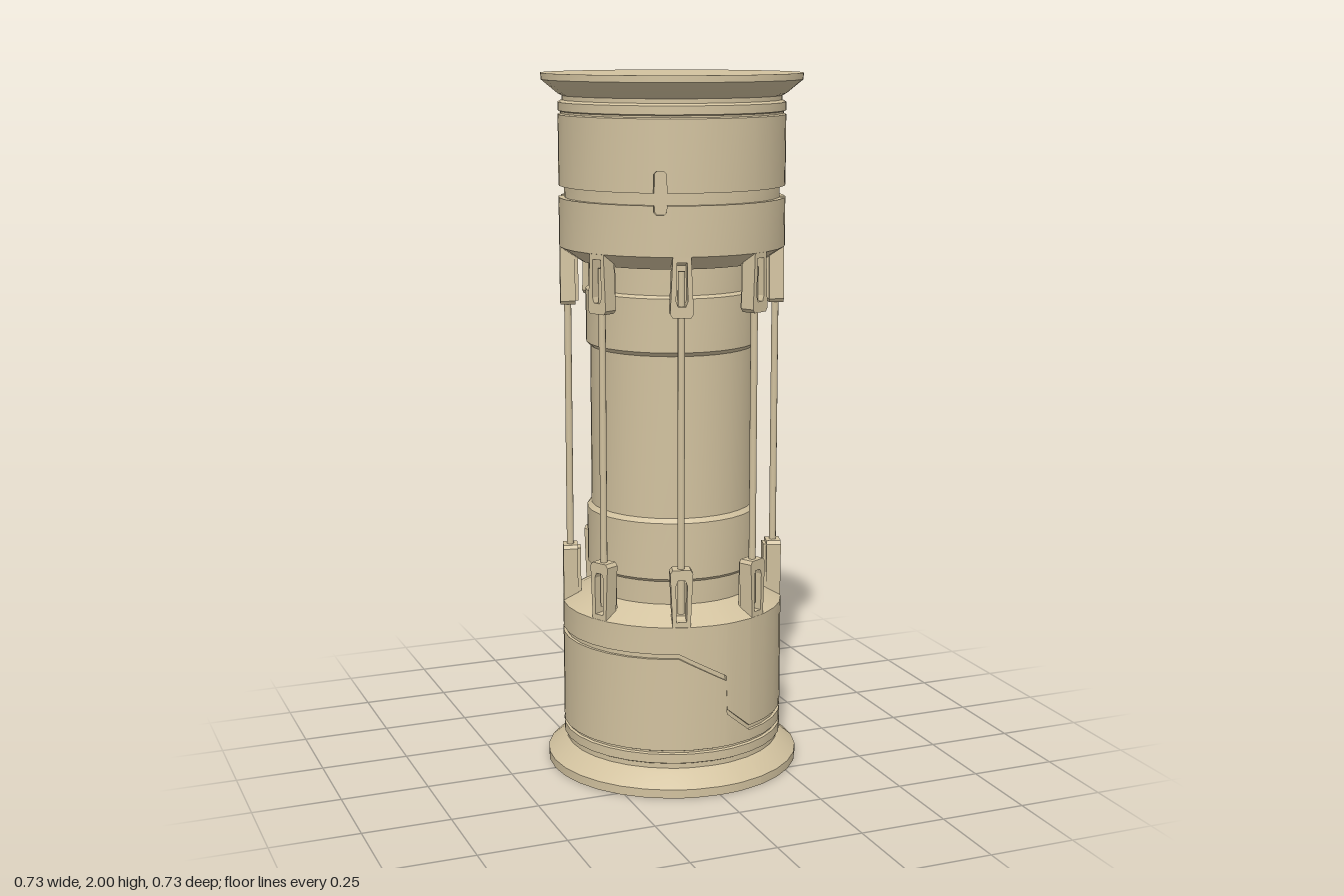
import * as THREE from 'three';
import { toCreasedNormals } from 'three/addons/utils/BufferGeometryUtils.js';

const material = new THREE.MeshStandardMaterial({ color: 0xd2c29f });
const SIDES = 32, R = 0.32, TAU = Math.PI * 2;

// Turned body: rings of [radius, height], where height may vary with the angle.
function turned(name, rings, extraAngles = []) {
  const angles = [...Array(SIDES).keys()].map(i => i / SIDES * TAU)
    .concat(extraAngles.map(a => (a + TAU) % TAU))
    .sort((a, b) => a - b)
    .filter((a, i, all) => i === 0 || a - all[i - 1] > 1e-5);
  const pos = [];
  const point = ([r, y], a) => [r * Math.sin(a), typeof y === 'function' ? y(a) : y, r * Math.cos(a)];
  angles.forEach((a0, i) => {
    const a1 = angles[(i + 1) % angles.length];
    for (let j = 0; j < rings.length - 1; j++) {
      const a = point(rings[j], a0), b = point(rings[j], a1);
      const c = point(rings[j + 1], a1), d = point(rings[j + 1], a0);
      if (rings[j][0] > 0) pos.push(...a, ...b, ...c);
      if (rings[j + 1][0] > 0) pos.push(...a, ...c, ...d);
    }
  });
  const geometry = new THREE.BufferGeometry();
  geometry.setAttribute('position', new THREE.Float32BufferAttribute(pos, 3));
  return named(name, toCreasedNormals(geometry, 0.45));
}

function named(name, geometry) {
  const mesh = new THREE.Mesh(geometry, material);
  mesh.name = name;
  return mesh;
}

// Stepped seam on the base: high on one side, low on the other
const seam = [[-0.1, 0.4], [0.038, 0.325], [0.042, 0.225], [0.12, 0.16]];
function seamHeight(a) {
  const x = R * Math.sin(a);
  if (x <= seam[0][0]) return seam[0][1];
  for (let i = 1; i < seam.length; i++) {
    const [x0, y0] = seam[i - 1], [x1, y1] = seam[i];
    if (x <= x1) return y0 + (y1 - y0) * (x - x0) / (x1 - x0);
  }
  return seam[3][1];
}
const seamAngles = seam.flatMap(([x]) => [Math.asin(x / R), Math.PI - Math.asin(x / R)]);

// Upright slots that widen the groove of the head at four places
const SLOT = 0.055, STEP = 0.002;
const slotCentres = [0, 1, 2, 3].map(i => -0.48 + i * Math.PI / 2);
const slotAngles = slotCentres.flatMap(c =>
  [-SLOT - STEP, -SLOT, -SLOT * 0.6, SLOT * 0.6, SLOT, SLOT + STEP].map(d => c + d));
const grooveEdge = (plain, deep, round) => a => {
  const off = Math.min(...slotCentres.map(c => Math.abs(Math.atan2(Math.sin(a - c), Math.cos(a - c)))));
  if (off > SLOT + STEP / 2) return plain;
  return off > SLOT * 0.8 ? deep - round : deep;
};

// Slotted clamp, its foot at y = 0
function clampGeometry() {
  const shape = new THREE.Shape();
  [[-0.025, 0], [0.025, 0], [0.032, 0.155], [0.025, 0.165], [-0.025, 0.165], [-0.032, 0.155]]
    .forEach(([x, y], i) => (i ? shape.lineTo(x, y) : shape.moveTo(x, y)));
  const hole = new THREE.Path();
  [[-0.014, 0.015], [-0.016, 0.12], [-0.01, 0.135], [0.01, 0.135], [0.016, 0.12], [0.014, 0.015]]
    .forEach(([x, y], i) => (i ? hole.lineTo(x, y) : hole.moveTo(x, y)));
  shape.holes.push(hole);
  return new THREE.ExtrudeGeometry(shape, { depth: 0.042, bevelEnabled: false });
}

export function createModel() {
  const model = new THREE.Group();
  model.name = 'cylinderCanister';

  // Base with flared foot, small rings and the stepped seam
  const w = 0.007;
  model.add(turned('base', [
    [0, 0], [0.367, 0], [0.367, 0.025], [0.325, 0.06], [0.312, 0.068], [0.312, 0.082],
    [R, 0.086], [R, 0.112], [0.313, 0.115], [0.313, 0.12], [R, 0.123],
    [R, a => seamHeight(a) - w], [0.311, a => seamHeight(a) - w],
    [0.311, a => seamHeight(a) + w], [R, a => seamHeight(a) + w],
    [R, 0.485], [0.24, 0.528], [0, 0.528],
  ], seamAngles));

  // Core with a thicker collar at each end
  model.add(turned('core', [
    [0.235, 0.5], [0.238, 0.595], [0.246, 0.603], [0.246, 0.765], [0.234, 0.777],
    [0.234, 1.236], [0.246, 1.248], [0.246, 1.397], [0.238, 1.405], [0.238, 1.5],
  ]));

  // Head with ring groove, slots and flared rim
  const low = grooveEdge(1.657, 1.632, -0.008), high = grooveEdge(1.69, 1.748, 0.008);
  model.add(turned('head', [
    [0, 1.48], [0.26, 1.48], [R, 1.52], [R, low], [0.304, low], [0.304, high], [R, high],
    [R, 1.886], [0.313, 1.889], [0.313, 1.894], [R, 1.897], [R, 1.92],
    [0.309, 1.926], [0.309, 1.938], [0.322, 1.945], [0.367, 1.982], [0.367, 2], [0, 2],
  ], slotAngles));

  // Eight rods, each held by a clamp at both ends
  const clamp = clampGeometry();
  const back = new THREE.BoxGeometry(0.045, 0.15, 0.012);
  const rodShape = new THREE.CylinderGeometry(0.01, 0.01, 0.96, 10);
  for (let i = 0; i < 8; i++) {
    const strut = new THREE.Group();
    strut.name = 'strut';
    strut.rotation.y = -0.295 + i * Math.PI / 4;
    const rod = named('rod', rodShape);
    rod.position.set(0, 1, 0.297);
    strut.add(rod);
    for (const [foot, turn] of [[0.485, 0], [1.52, Math.PI]]) {
      const holder = new THREE.Group();
      holder.name = turn ? 'upperClamp' : 'lowerClamp';
      const frame = named('clampFrame', clamp);
      frame.position.z = 0.276;
      const plate = named('clampBack', back);
      plate.position.set(0, 0.08, 0.273);
      holder.add(frame, plate);
      holder.position.y = foot;
      holder.rotation.z = turn;
      strut.add(holder);
    }
    model.add(strut);
  }
  return model;
}
